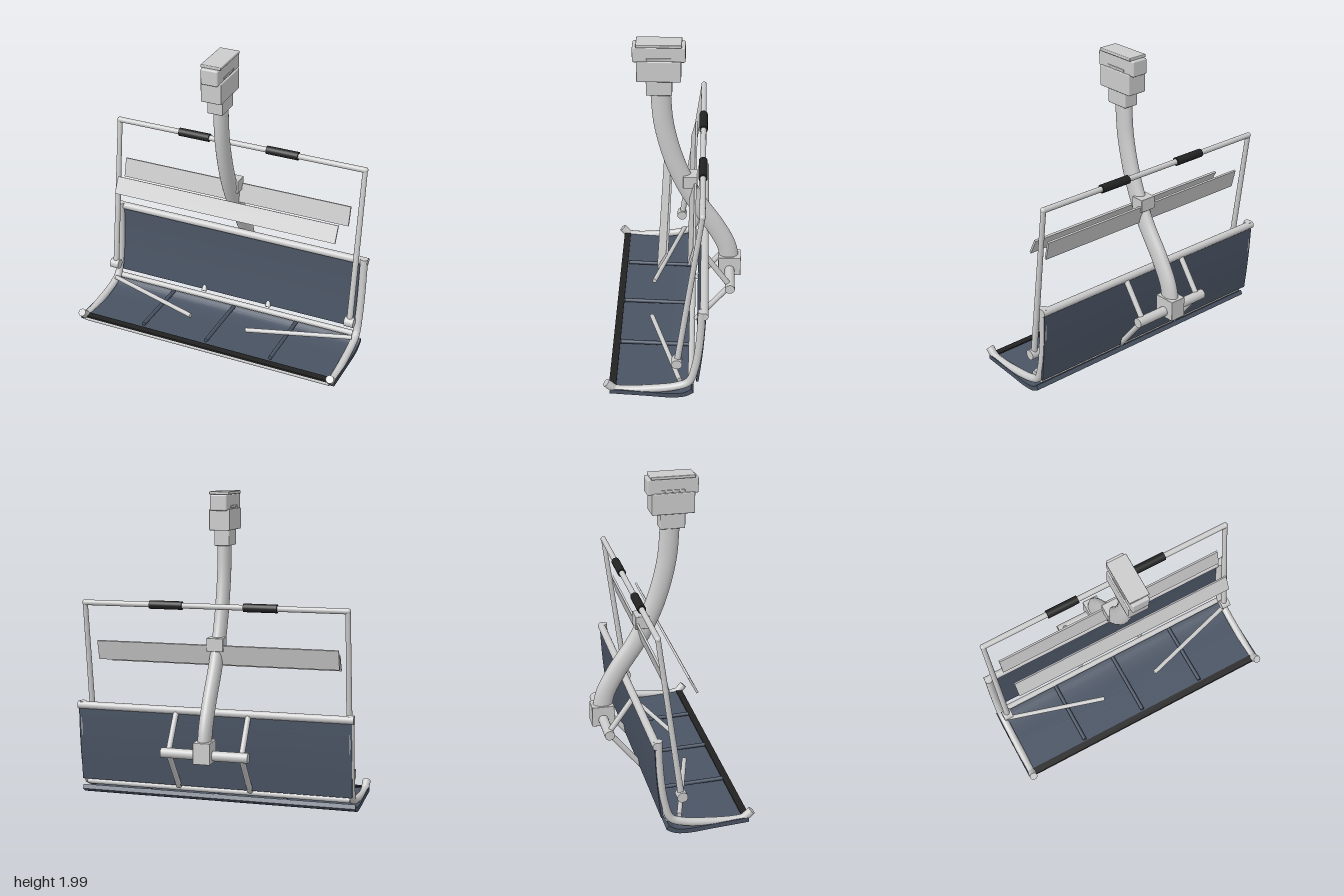
import * as THREE from 'three';
import { RoundedBoxGeometry } from 'three/addons/geometries/RoundedBoxGeometry.js';

const grey = new THREE.MeshStandardMaterial({ color: 0xcccccc });
const slate = new THREE.MeshStandardMaterial({ color: 0x4a5464 });
const black = new THREE.MeshStandardMaterial({ color: 0x222222 });
const V = (x, y, z) => new THREE.Vector3(x, y, z);

export function createModel() {
  const root = new THREE.Group();

  function add(name, geometry, material = grey) {
    const mesh = new THREE.Mesh(geometry, material);
    mesh.name = name;
    root.add(mesh);
    return mesh;
  }

  // Straight round bar between two points
  function bar(name, a, b, r, material = grey, r2 = r) {
    const mesh = add(name, new THREE.CylinderGeometry(r2, r, a.distanceTo(b), 20), material);
    mesh.position.copy(a).add(b).multiplyScalar(0.5);
    mesh.quaternion.setFromUnitVectors(V(0, 1, 0), b.clone().sub(a).normalize());
    return mesh;
  }

  // Box given by its extents
  function box(name, x, y0, y1, z0, z1, bevel = 0.006) {
    const mesh = add(name, new RoundedBoxGeometry(2 * x, y1 - y0, z1 - z0, 2, bevel));
    mesh.position.set(0, (y0 + y1) / 2, (z0 + z1) / 2);
    return mesh;
  }

  // Curved sheet: a [z, y] centre line thickened and extruded along x
  function sheet(name, points, halfWidth, t) {
    const curve = new THREE.SplineCurve(points.map(p => new THREE.Vector2(...p)));
    const front = [], back = [];
    for (let i = 0; i <= 20; i++) {
      const p = curve.getPoint(i / 20), d = curve.getTangent(i / 20);
      const n = new THREE.Vector2(-d.y, d.x).multiplyScalar(t / 2);
      front.push(p.clone().add(n));
      back.unshift(p.clone().sub(n));
    }
    const geo = new THREE.ExtrudeGeometry(new THREE.Shape([...front, ...back]),
      { depth: 2 * halfWidth, bevelEnabled: false });
    geo.translate(0, 0, -halfWidth);
    geo.rotateY(-Math.PI / 2);
    return add(name, geo, slate);
  }

  // Grip head at the top of the hanger
  box('headCap', 0.056, 1.88, 1.982, -0.062, 0.262, 0.01);
  box('headTopPlate', 0.065, 1.98, 2.0, -0.04, 0.24, 0.005);
  box('headBlock', 0.067, 1.755, 1.89, -0.035, 0.237);
  box('headNeck', 0.05, 1.655, 1.76, 0.02, 0.18);
  box('headSlotTrim', 0.06, 1.895, 1.91, 0.025, 0.175, 0.003);

  // Curved hanger arm, oval in section
  const path = [[0.093, 1.68], [0.072, 1.435], [0, 1.16], [-0.11, 0.92],
    [-0.26, 0.69], [-0.335, 0.54], [-0.36, 0.4]].map(([z, y]) => V(0, y, z));
  const arm = add('hangerArm',
    new THREE.TubeGeometry(new THREE.CatmullRomCurve3(path), 60, 0.063, 28));
  arm.scale.x = 0.68;

  // Rear hub with its cross tube
  box('rearHub', 0.055, 0.337, 0.473, -0.43, -0.283, 0.004);
  bar('rearCrossTube', V(-0.282, 0.382, -0.357), V(0.282, 0.382, -0.357), 0.032);

  // Backrest and seat shells
  sheet('backrest', [[-0.198, 0.625], [-0.188, 0.45], [-0.175, 0.3], [-0.155, 0.125]], 0.895, 0.014);
  sheet('seat', [[0.385, 0.048], [0.3, 0.042], [0.15, 0.032], [0.02, 0.022],
    [-0.07, 0.03], [-0.125, 0.06]], 0.91, 0.03);

  // Full-width frame tubes
  bar('backTopTube', V(-0.905, 0.622, -0.192), V(0.905, 0.622, -0.192), 0.025);
  bar('seatRearTube', V(-0.875, 0.1, -0.115), V(0.875, 0.1, -0.115), 0.019);
  bar('seatFrontTube', V(-0.875, 0.04, 0.375), V(0.875, 0.04, 0.375), 0.017);
  const edge = add('seatFrontEdge', new THREE.BoxGeometry(1.8, 0.014, 0.045), black);
  edge.position.set(0, 0.06, 0.37);

  // Slim ribs over the seat
  for (const x of [-0.455, 0, 0.455])
    bar('seatRib', V(x, 0.07, -0.11), V(x, 0.086, 0.34), 0.013, slate);

  // Safety bar crosspiece
  bar('safetyBarTop', V(-0.855, 1.29, -0.175), V(0.855, 1.29, -0.175), 0.018);

  for (const s of [-1, 1]) {
    // Side frame bending from backrest to seat tip
    const side = [[-0.18, 0.645], [-0.168, 0.42], [-0.14, 0.22], [-0.1, 0.11],
      [-0.02, 0.075], [0.12, 0.055], [0.3, 0.045], [0.365, 0.055], [0.405, 0.095]]
      .map(([z, y]) => V(s * 0.882, y, z));
    add('sideFrame', new THREE.TubeGeometry(new THREE.CatmullRomCurve3(side), 64, 0.025, 16));
    bar('sideFrameTip', side[7], V(s * 0.887, 0.098, 0.408), 0.026);
    bar('sideFrameCap', V(s * 0.882, 0.63, -0.179), V(s * 0.882, 0.646, -0.18), 0.026);

    // Struts from the cross tube to the backrest
    const hub = V(s * 0.237, 0.382, -0.357);
    bar('upperStrut', hub, V(s * 0.237, 0.615, -0.195), 0.018);
    bar('lowerStrut', hub, V(s * 0.237, 0.115, -0.14), 0.018);

    // Safety bar arm, pivot, corner and grip
    bar('safetyBarArm', V(s * 0.855, 0.245, -0.03), V(s * 0.855, 1.29, -0.175), 0.02, grey, 0.016);
    bar('safetyBarPivot', V(s * 0.825, 0.245, -0.028), V(s * 0.888, 0.245, -0.028), 0.033);
    add('safetyBarCorner', new THREE.SphereGeometry(0.019, 16, 12))
      .position.set(s * 0.855, 1.29, -0.175);
    bar('grip', V(s * 0.2, 1.29, -0.175), V(s * 0.415, 1.29, -0.175), 0.027, black);

    // Diagonal footrest bar above the seat
    bar('footrestBar', V(s * 0.87, 0.115, -0.045), V(s * 0.2, 0.105, 0.15), 0.015);
  }

  // Front and rear tilted boards with the arm bracket
  const frontBoard = add('frontBoard', new THREE.BoxGeometry(1.54, 0.115, 0.014));
  frontBoard.position.set(0, 0.931, 0.058);
  frontBoard.rotation.x = -0.48;
  const rearBoard = add('rearBoard', new THREE.BoxGeometry(1.585, 0.128, 0.014));
  rearBoard.position.set(0, 0.977, -0.112);
  rearBoard.rotation.x = -0.25;
  box('boardBracket', 0.055, 1.0, 1.085, -0.14, -0.05, 0.004);

  return root;
}
